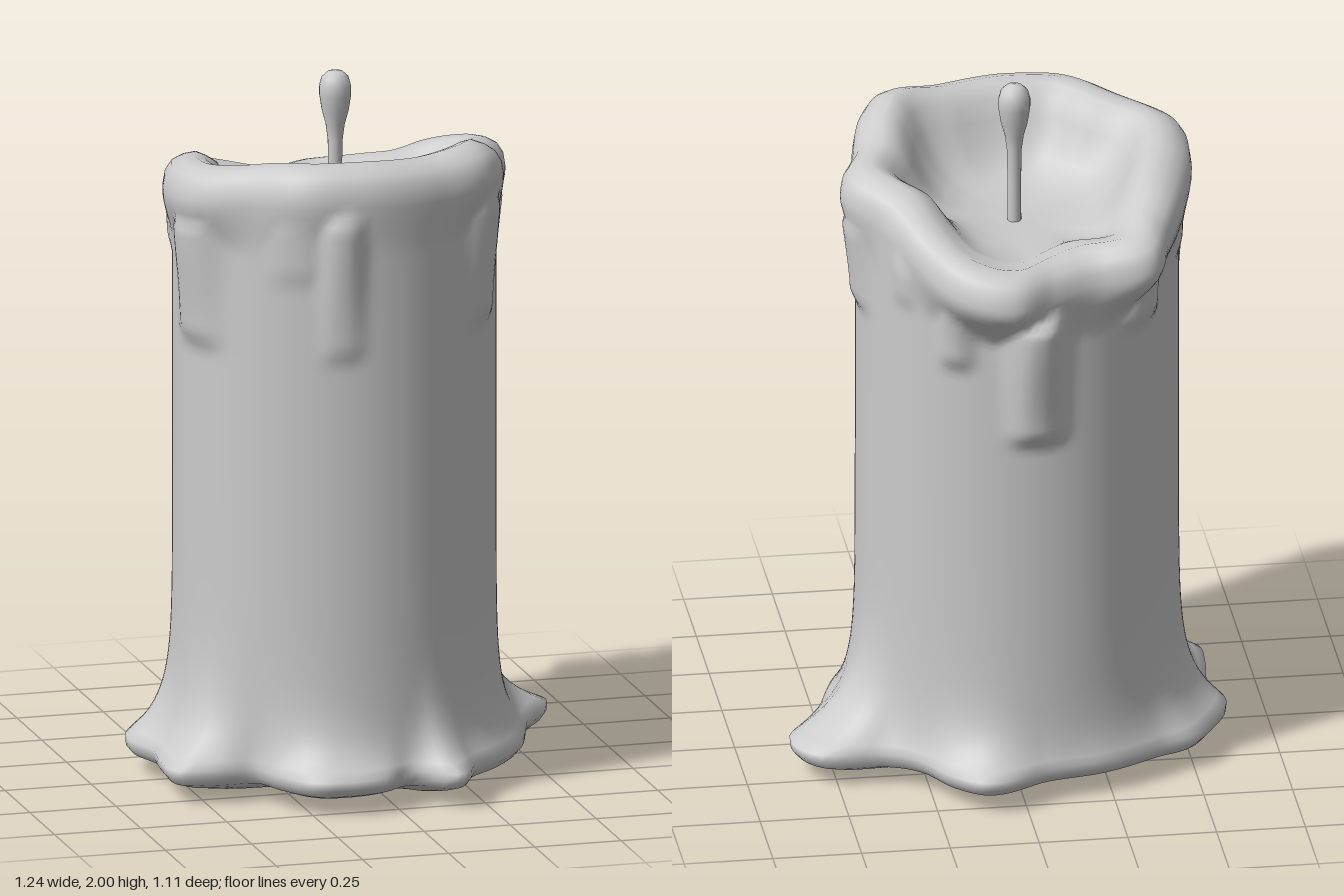
import * as THREE from 'three';

const CX = -0.045, WALL = 0.452, FLOOR = 1.585, SEGMENTS = 160;
const { lerp, smoothstep } = THREE.MathUtils;

// [degrees, value] control points; 0 = +x, 90 = front
const BASE_RADIUS = [
  [-170, .585], [-157, .57], [-145, .555], [-134, .51], [-114, .49], [-92, .49], [-75, .578], [-64, .557],
  [-49, .5], [-36, .54], [-27, .67], [-15, .69], [-5, .6], [5, .547], [28, .528], [45, .52], [57, .525],
  [65, .575], [70, .584], [75, .51], [81, .487], [90, .53], [101, .56], [111, .568], [123, .515],
  [135, .47], [145, .556], [152, .617], [163, .58], [175, .545]];
const RIM_RADIUS = [
  [-162, .479], [-139, .508], [-125, .56], [-109, .485], [-94, .501], [-82, .565], [-66, .549], [-47, .478],
  [-27, .45], [-6, .505], [12, .466], [33, .49], [46, .5], [65, .463], [97, .463], [115, .476],
  [136, .465], [160, .515], [177, .496]];
const RIM_HEIGHT = [
  [-150, 1.75], [-125, 1.68], [-105, 1.645], [-80, 1.63], [-55, 1.67], [-30, 1.74], [-8, 1.78],
  [15, 1.8], [40, 1.85], [65, 1.835], [95, 1.84], [125, 1.835], [150, 1.81], [178, 1.79]];

// [degrees, half width in degrees, lower end, thickness]
const DRIPS = [
  [-89, 9, 1.08, .095], [-60, 6, 1.3, .06], [-38, 5, 1.45, .03], [-7, 9, 1.36, .06],
  [41, 9, 1.33, .05], [103, 7, 1.28, .035], [120, 9, 1.5, .025],
  [163, 12, 1.28, .06], [-162, 6, 1.5, .035], [-132, 8, 1.38, .07], [-112, 5, 1.42, .035]];

// Smooth periodic interpolation of control points
function around(points, deg) {
  const n = points.length;
  const at = (i) => {
    const k = ((i % n) + n) % n;
    return [points[k][0] + 360 * Math.floor(i / n), points[k][1]];
  };
  let i = -1;
  while (at(i + 1)[0] <= deg) i++;
  const [p0, p1, p2, p3] = [at(i - 1), at(i), at(i + 1), at(i + 2)];
  const h = p2[0] - p1[0], t = (deg - p1[0]) / h;
  const m1 = (p2[1] - p0[1]) / (p2[0] - p0[0]) * h;
  const m2 = (p3[1] - p1[1]) / (p3[0] - p1[0]) * h;
  const t2 = t * t, t3 = t2 * t;
  return (2 * t3 - 3 * t2 + 1) * p1[1] + (t3 - 2 * t2 + t) * m1 + (3 * t2 - 2 * t3) * p2[1] + (t3 - t2) * m2;
}

// Radius of the outer wall: shaft, flared foot, overhanging lip and tapering drips
function wallRadius(deg, y, base, rim, height) {
  // The foot climbs higher at the sides than at front and back
  const climb = lerp(0.055, 0.1, Math.abs(Math.cos(THREE.MathUtils.degToRad(deg))));
  const foot = (base - WALL) * Math.exp(-Math.max(0, y - 0.1) / climb);
  let bulge = (rim - WALL) * smoothstep(y, height - 0.26, height - 0.1);
  const fade = 1 - smoothstep(y, height - 0.18, height - 0.09);
  for (const [angle, width, end, thick] of DRIPS) {
    const d = Math.abs(((deg - angle + 540) % 360) - 180) / width;
    const taper = 0.4 * smoothstep(y, end - 0.02, end + 0.05) + 0.6 * smoothstep(y, end, end + 0.4);
    bulge = Math.max(bulge, thick * Math.exp(-(Math.abs(d) ** 3)) * taper * fade);
  }
  return WALL + foot + bulge;
}

// One vertical section [radius, y] of the wax, from underside to pool centre
function section(deg) {
  const base = around(BASE_RADIUS, deg), rim = around(RIM_RADIUS, deg), height = around(RIM_HEIGHT, deg);
  const pts = [[0, 0], [base * 0.4, 0.006], [base * 0.75, 0.022], [base - 0.06, 0.042],
    [base - 0.02, 0.055], [base - 0.003, 0.075]];
  const rows = 72, y0 = 0.1, y1 = height - 0.09;
  for (let i = 0; i <= rows; i++) {
    const y = lerp(y0, y1, i / rows);
    pts.push([wallRadius(deg, y, base, rim, height), y]);
  }
  pts.push([rim - 0.006, height - 0.055], [rim - 0.024, height - 0.027], [rim - 0.055, height - 0.009],
    [rim - 0.09, height], [rim - 0.12, height - 0.01]);
  // Melted hollow, growing rounder towards the middle
  const inner = rim - 0.15;
  for (const [k, h] of [[1, .84], [.92, .64], [.84, .44], [.74, .26], [.62, .13], [.45, .04], [.22, 0], [0, 0]]) {
    pts.push([k * lerp(0.34, inner, k), lerp(FLOOR, height, h)]);
  }
  return pts;
}

function waxGeometry() {
  const positions = [], index = [];
  let rows = 0;
  for (let j = 0; j < SEGMENTS; j++) {
    const deg = j / SEGMENTS * 360 - 180, a = THREE.MathUtils.degToRad(deg);
    const pts = section(deg);
    rows = pts.length;
    for (const [r, y] of pts) positions.push(CX + r * Math.cos(a), y, r * Math.sin(a));
  }
  for (let j = 0; j < SEGMENTS; j++) {
    const here = j * rows, next = ((j + 1) % SEGMENTS) * rows;
    for (let i = 0; i < rows - 1; i++) {
      if (i > 0) index.push(here + i, here + i + 1, next + i);
      if (i < rows - 2) index.push(next + i, here + i + 1, next + i + 1);
    }
  }
  const g = new THREE.BufferGeometry();
  g.setAttribute('position', new THREE.Float32BufferAttribute(positions, 3));
  g.setIndex(index);
  g.computeVertexNormals();
  // The coincident pole vertices share a straight normal
  for (let j = 0; j < SEGMENTS; j++) {
    g.attributes.normal.setXYZ(j * rows, 0, -1, 0);
    g.attributes.normal.setXYZ(j * rows + rows - 1, 0, 1, 0);
  }
  return g;
}

export function createModel() {
  const group = new THREE.Group();
  group.name = 'candle';
  const material = new THREE.MeshStandardMaterial({ color: 0xcccccc });

  const wax = new THREE.Mesh(waxGeometry(), material);
  wax.name = 'waxBody';
  group.add(wax);

  // Wick with a rounded, burnt tip
  const profile = [[.02, 1.55], [.019, 1.7], [.021, 1.8], [.027, 1.845], [.038, 1.885], [.045, 1.93],
    [.045, 1.955], [.038, 1.98], [.022, 1.995], [0, 2]].map(([r, y]) => new THREE.Vector2(r, y));
  const wick = new THREE.Mesh(new THREE.LatheGeometry(profile, 16), material);
  wick.name = 'wick';
  wick.position.set(-0.033, 0, -0.033);
  group.add(wick);

  return group;
}
